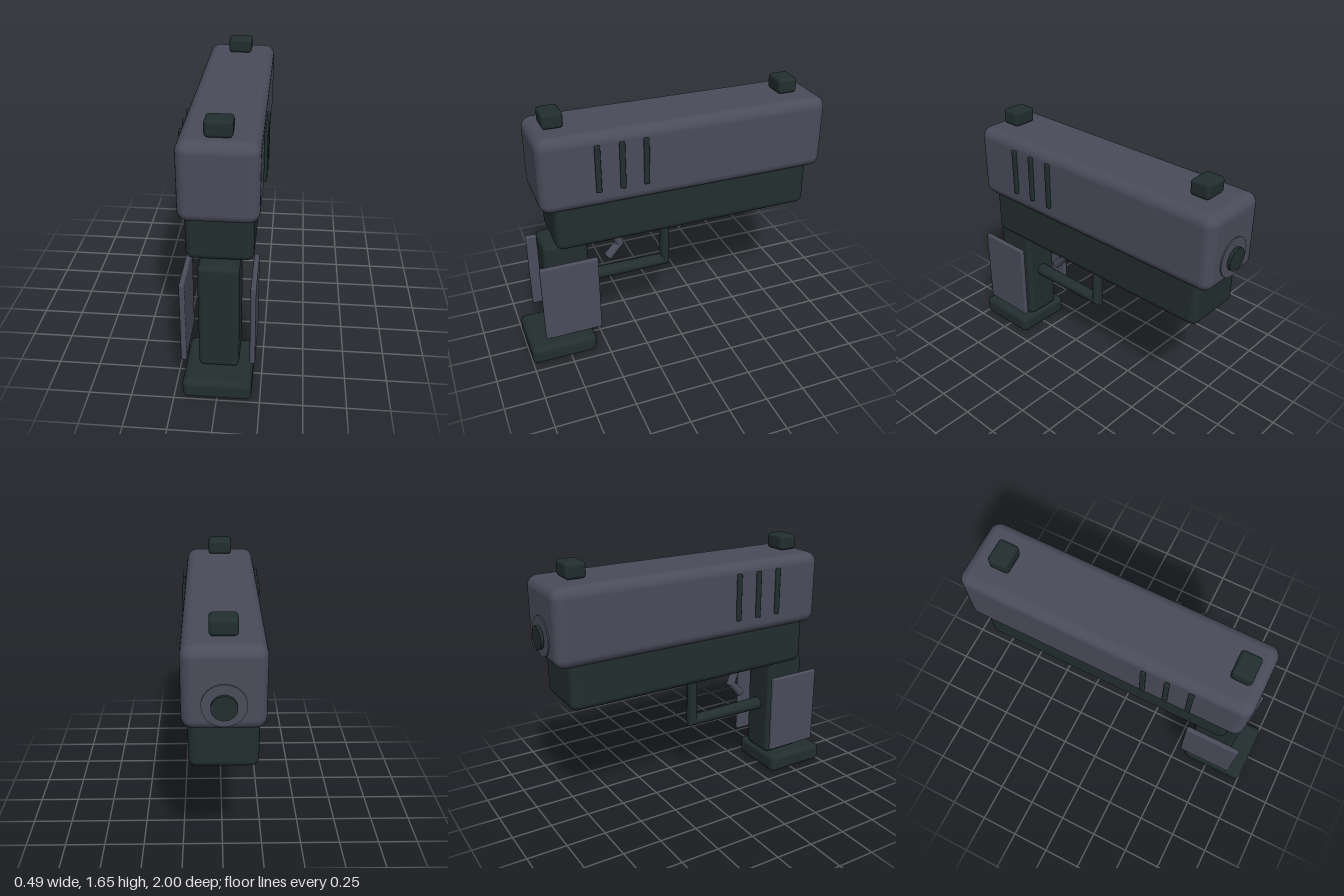
import * as THREE from 'three';
import { RoundedBoxGeometry } from 'three/addons/geometries/RoundedBoxGeometry.js';

const slate = new THREE.MeshStandardMaterial({ color: 0x4a4c5b });
slate.name = 'slate grey';
const dark = new THREE.MeshStandardMaterial({ color: 0x222e2e });
dark.name = 'dark green grey';

// Rounded box given by its [min, max] range on each axis
function block(name, [x0, x1], [y0, y1], [z0, z1], radius, material) {
  const mesh = new THREE.Mesh(new RoundedBoxGeometry(x1 - x0, y1 - y0, z1 - z0, 4, radius), material);
  mesh.position.set((x0 + x1) / 2, (y0 + y1) / 2, (z0 + z1) / 2);
  mesh.name = name;
  return mesh;
}

// Bent round bar: each ring is { z, y, dz, dy, r } with half-width (dz, dy) in the
// side plane and half-width r across; ends are capped
function bentBar(name, rings, material) {
  const sides = 16, pos = [], index = [];
  for (const { z, y, dz, dy, r } of rings) {
    for (let i = 0; i < sides; i++) {
      const a = (i / sides) * Math.PI * 2, c = Math.cos(a);
      pos.push(r * Math.sin(a), y + dy * c, z + dz * c);
    }
  }
  for (let k = 0; k < rings.length - 1; k++) {
    for (let i = 0; i < sides; i++) {
      const a = k * sides + i, b = k * sides + (i + 1) % sides;
      index.push(a, b, a + sides, b, b + sides, a + sides);
    }
  }
  const last = (rings.length - 1) * sides;
  for (let i = 1; i < sides - 1; i++) {
    index.push(0, i + 1, i, last, last + i, last + i + 1);
  }
  const geometry = new THREE.BufferGeometry();
  geometry.setAttribute('position', new THREE.Float32BufferAttribute(pos, 3));
  geometry.setIndex(index);
  const flat = geometry.toNonIndexed();
  flat.computeVertexNormals();
  const mat = material.clone();
  mat.side = THREE.DoubleSide;
  const mesh = new THREE.Mesh(flat, mat);
  mesh.name = name;
  return mesh;
}

// Flat disc facing along z
function disc(name, radius, y, z0, z1, material) {
  const mesh = new THREE.Mesh(new THREE.CylinderGeometry(radius, radius, z1 - z0, 32), material);
  mesh.rotation.x = Math.PI / 2;
  mesh.position.set(0, y, (z0 + z1) / 2);
  mesh.name = name;
  return mesh;
}

export function createModel() {
  const model = new THREE.Group();
  model.name = 'blockPistol';

  // Main body
  model.add(
    block('slide', [-0.225, 0.225], [1.085, 1.553], [-0.97, 0.86], 0.065, slate),
    block('frame', [-0.193, 0.193], [0.812, 1.16], [-0.888, 0.782], 0.045, dark),
    block('grip', [-0.118, 0.118], [0.125, 0.815], [0.575, 0.855], 0.03, dark),
    block('gripBase', [-0.2, 0.2], [0, 0.123], [0.575, 1], 0.035, dark),
  );

  // Sights on top of the slide
  for (const [name, z] of [['rearSight', 0.722], ['frontSight', -0.768]]) {
    model.add(block(name, [-0.077, 0.077], [1.555, 1.652], [z - 0.063, z + 0.063], 0.022, dark));
  }

  // Grip panels and slide grooves on both sides
  for (const [side, s] of [['left', 1], ['right', -1]]) {
    const range = (a, b) => (s > 0 ? [a, b] : [-b, -a]);
    model.add(block(side + 'GripPanel', range(0.183, 0.215), [0.2, 0.728], [0.54, 0.905], 0.012, slate));
    [0.518, 0.371, 0.225].forEach((z, i) => {
      model.add(block(side + 'Groove' + (i + 1), range(0.226, 0.246), [1.195, 1.492], [z - 0.017, z + 0.017], 0.008, dark));
    });
  }

  // Muzzle ring and bore
  model.add(
    disc('muzzleRing', 0.12, 1.24, -0.977, -0.96, slate),
    disc('muzzleBore', 0.07, 1.236, -1, -0.982, dark),
  );

  // Trigger guard and trigger
  model.add(
    bentBar('triggerGuard', [
      { z: 0.029, y: 0.85, dz: 0.03, dy: 0, r: 0.04 },
      { z: 0.029, y: 0.472, dz: 0.03, dy: 0.036, r: 0.042 },
      { z: 0.585, y: 0.473, dz: 0, dy: 0.043, r: 0.043 },
    ], dark),
    bentBar('trigger', [
      { z: 0.398, y: 0.83, dz: 0.028, dy: 0.011, r: 0.03 },
      { z: 0.341, y: 0.672, dz: 0.03, dy: 0.004, r: 0.03 },
      { z: 0.419, y: 0.585, dz: 0.021, dy: 0.019, r: 0.03 },
    ], slate),
  );
  return model;
}
